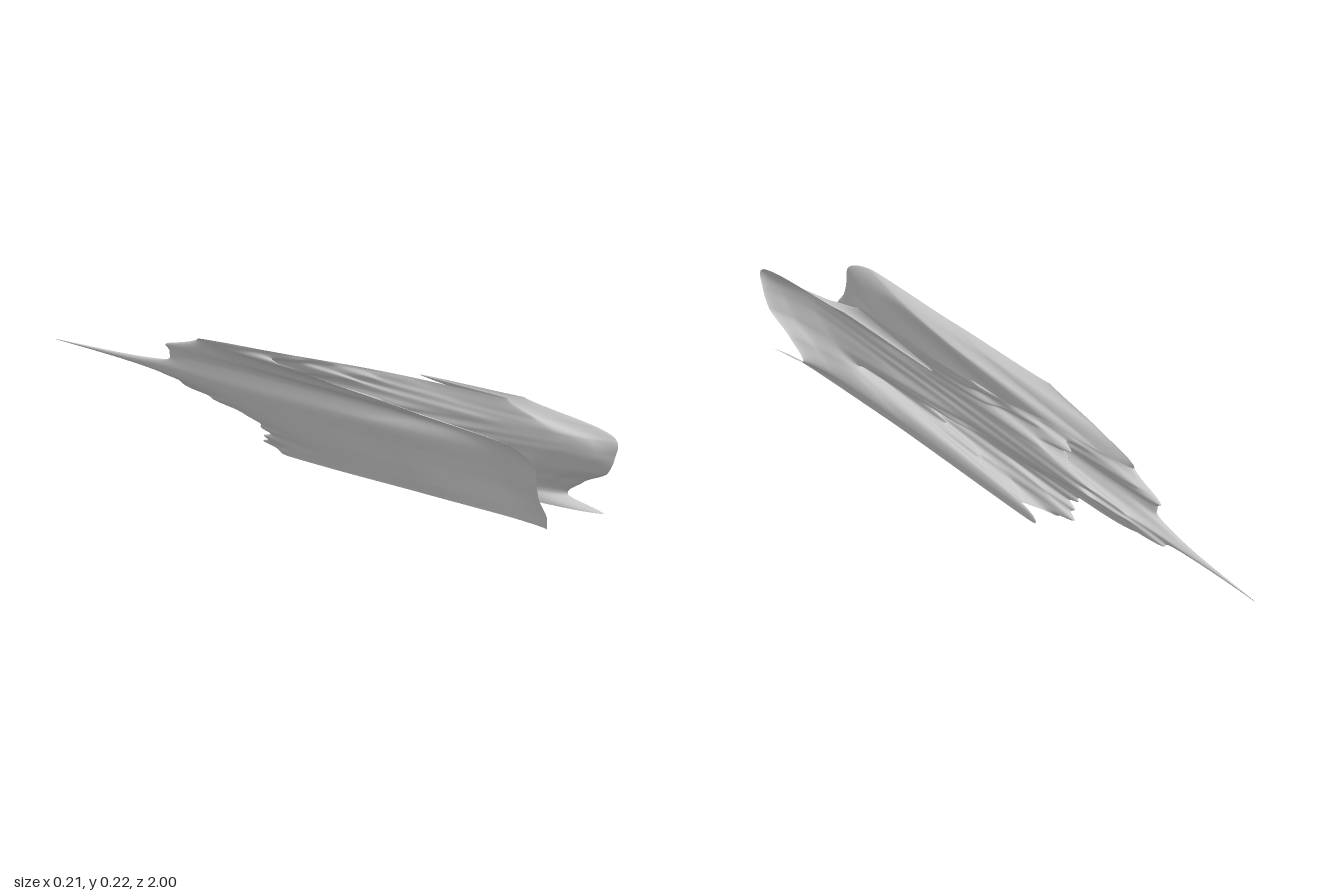
import * as THREE from 'three';

// Control net of the relief: column positions, row positions, depth per row
const COLS = [-0.107, -0.085, -0.065, -0.05, -0.035, -0.015, 0, 0.02, 0.035, 0.05, 0.065, 0.085, 0.107];
const ROWS = [0, 0.024, 0.06, 0.09, 0.13, 0.165, 0.185, 0.215];
const DEPTH = [
  [1.0, 0.85, 0.45, 0.1, -0.1, -0.15, -0.1, -0.05, 0, -0.15, 0.45, 0.82, 0.91],
  [1.0, 0.85, 0.4, 0.05, -0.15, -0.18, 0.1, 0.1, 0.05, -0.1, 0.4, 0.68, 0.77],
  [0.97, 0.85, 0.35, -0.1, -0.2, 0.1, 0.4, 0.35, 0.55, 0.58, 0.62, 0.75, 0.83],
  [0.96, 0.82, 0.3, -0.25, -0.4, -0.4, 0, 0.1, 0.2, 0.45, 0.7, 0.85, 0.92],
  [0.95, 0.78, 0.2, -0.48, -0.62, -0.55, -0.44, -0.3, 0.2, 0.52, 0.78, 0.9, 0.95],
  [0.85, 0.7, 0.4, -0.48, -0.4, 0.25, -0.2, -0.2, 0.2, 0.5, 0.78, 0.88, 0.96],
  [0.5, 0.35, -0.2, -0.53, -0.48, -0.2, -0.2, 0, 0.15, 0.4, 0.7, 0.7, 0.9],
  [0.05, -0.2, -0.38, -0.42, -0.35, -0.2, -0.1, 0, 0.1, 0.25, 0.6, 0.23, 0.6],
];

// Gentle cubic through evenly indexed values
function cubic(values, t) {
  const i = Math.min(Math.floor(t), values.length - 2), f = t - i;
  const at = (k) => values[Math.max(0, Math.min(values.length - 1, k))];
  const m0 = (at(i + 1) - at(i - 1)) * 0.4, m1 = (at(i + 2) - at(i)) * 0.4;
  const f2 = f * f, f3 = f2 * f;
  return at(i) * (2 * f3 - 3 * f2 + 1) + m0 * (f3 - 2 * f2 + f)
    + at(i + 1) * (3 * f2 - 2 * f3) + m1 * (f3 - f2);
}

// Fractional index of a position in a sorted list
function indexOf(list, v) {
  let i = 0;
  while (i < list.length - 2 && v > list[i + 1]) i++;
  return i + THREE.MathUtils.clamp((v - list[i]) / (list[i + 1] - list[i]), 0, 1);
}

function reliefDepth(x, y) {
  const u = indexOf(COLS, x), v = indexOf(ROWS, y);
  let z = cubic(DEPTH.map((row) => cubic(row, u)), v);
  // Soft folds in the middle band, fading at the borders
  const band = Math.exp(-Math.pow((x - 0.005) / 0.045, 4)) * Math.min(1, y / 0.02, (0.215 - y) / 0.02);
  z += band * 0.045 * Math.sin(x * 200 + 2 * Math.sin(y * 70)) * Math.sin(y * 190 + x * 40);
  // Long needle pointing backward
  const distance = Math.hypot(x + 0.034, y - 0.132);
  z -= 0.43 * Math.exp(-distance / 0.0055);
  return THREE.MathUtils.clamp(z, -1, 1);
}

export function createModel() {
  const group = new THREE.Group();
  const geometry = new THREE.PlaneGeometry(0.214, 0.215, 160, 160);
  geometry.translate(0, 0.1075, 0);
  const pos = geometry.attributes.position;
  for (let i = 0; i < pos.count; i++) {
    pos.setZ(i, reliefDepth(pos.getX(i), pos.getY(i)));
  }
  geometry.computeVertexNormals();
  const material = new THREE.MeshStandardMaterial({ color: 0xcccccc, side: THREE.DoubleSide });
  const relief = new THREE.Mesh(geometry, material);
  relief.name = 'reliefSurface';
  group.add(relief);
  return group;
}
